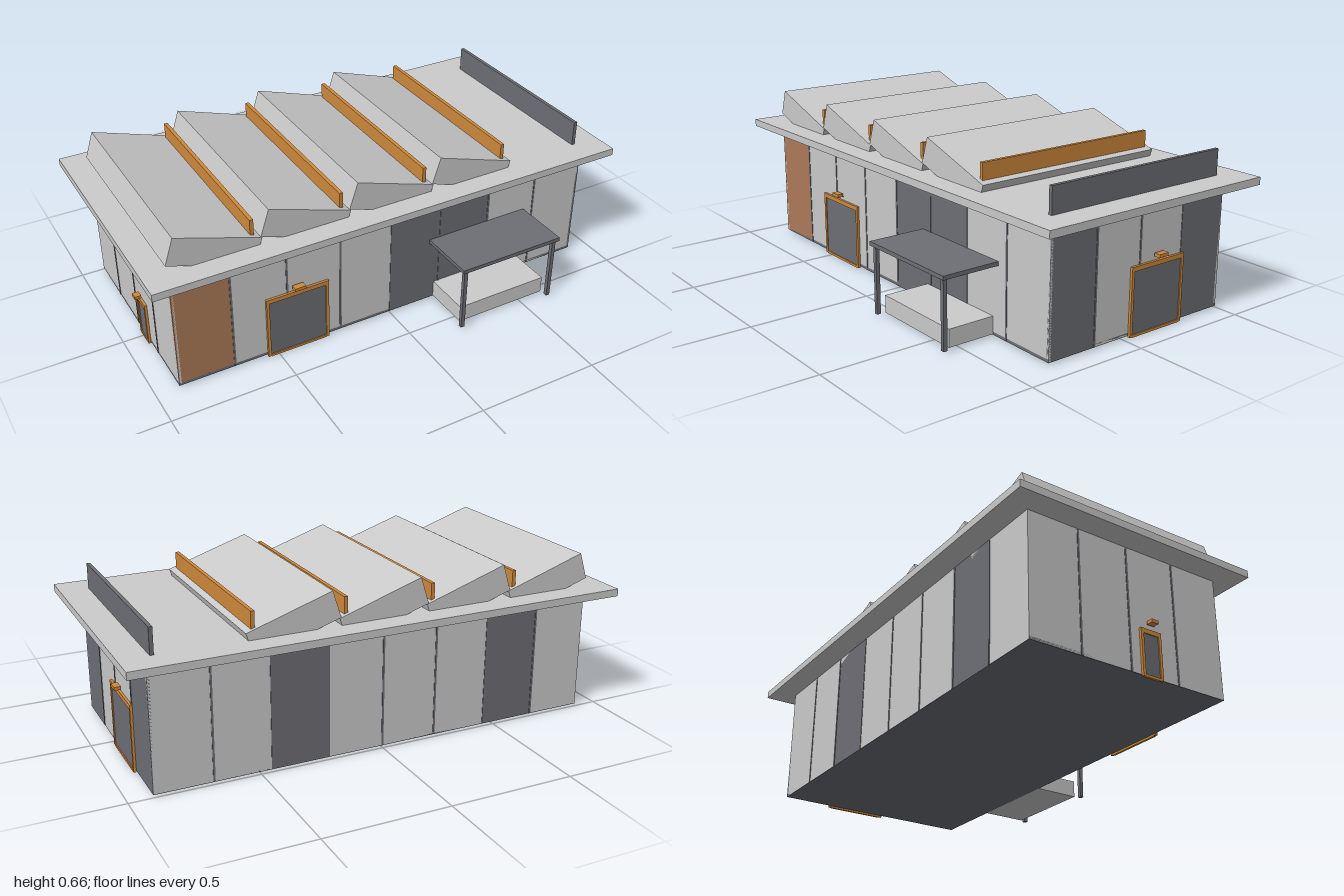
import * as THREE from 'three';

const mat = (color) => new THREE.MeshStandardMaterial({ color });
const LIGHT = mat(0xcccccc), DARK = mat(0x6e6f75), ORANGE = mat(0xd08a3c), BROWN = mat(0xad7a58);

// Box given by its minimum and maximum along each axis
function box(parent, name, m, [x0, x1], [y0, y1], [z0, z1]) {
  const mesh = new THREE.Mesh(new THREE.BoxGeometry(x1 - x0, y1 - y0, z1 - z0), m);
  mesh.position.set((x0 + x1) / 2, (y0 + y1) / 2, (z0 + z1) / 2);
  mesh.name = name;
  parent.add(mesh);
  return mesh;
}

// Wall face lying in its own xy plane, outside towards +z
function wallFace(parent, name, x, z, turn) {
  const g = new THREE.Group();
  g.name = name;
  g.position.set(x, 0, z);
  g.rotation.y = turn;
  parent.add(g);
  return g;
}

// Row of cladding panels with dark seams between them
function cladding(wall, width, colors, seamTops = []) {
  const w = width / colors.length;
  colors.forEach((m, i) => {
    const x = -width / 2 + i * w;
    box(wall, 'wallPanel', m, [x, x + w], [0.01, 0.495], [-0.01, 0]);
    if (i) box(wall, 'seam', DARK, [x - 0.004, x + 0.004], [0.01, seamTops[i - 1] ?? 0.49], [-0.005, 0.002]);
  });
}

// Framed door with a small lamp above it
function door(wall, x0, x1, top, lampWidth) {
  const f = 0.012, c = (x0 + x1) / 2;
  const g = new THREE.Group();
  g.name = 'door';
  wall.add(g);
  box(g, 'doorLeaf', DARK, [x0 + f, x1 - f], [0.01, top - f], [0, 0.006]);
  for (const x of [x0, x1 - f]) box(g, 'doorJamb', ORANGE, [x, x + f], [0.002, top], [0, 0.01]);
  box(g, 'doorHead', ORANGE, [x0 + f, x1 - f], [top - 0.018, top], [0, 0.01]);
  box(g, 'doorSill', ORANGE, [x0 + f, x1 - f], [0, 0.01], [0, 0.01]);
  box(g, 'doorLamp', ORANGE, [c - lampWidth / 2, c + lampWidth / 2], [top + 0.018, top + 0.031], [0.008, 0.034]);
}

export function createModel() {
  const model = new THREE.Group();
  model.name = 'workshop';
  const L = LIGHT, D = DARK;
  const X = 0.907, ZB = -0.495, ZF = 0.35, ZM = (ZB + ZF) / 2;

  // Solid core and floor
  box(model, 'core', DARK, [-X + 0.005, X - 0.005], [0.012, 0.495], [ZB + 0.005, ZF - 0.005]);
  box(model, 'floor', DARK, [-X, X], [0.008, 0.02], [ZB, ZF]);

  // Four clad walls
  const front = wallFace(model, 'frontWall', 0, ZF, 0);
  cladding(front, 2 * X, [BROWN, L, L, L, D, D, L, L], [0.48, 0.49, 0.45, 0.49, 0.49, 0.47]);
  door(front, -0.545, -0.282, 0.27, 0.045);
  const back = wallFace(model, 'backWall', 0, ZB, Math.PI);
  cladding(back, 2 * X, [L, L, D, L, L, L, D, L]);
  const right = wallFace(model, 'leftWall', X, ZM, Math.PI / 2);
  cladding(right, ZF - ZB, [D, L, L, D]);
  door(right, 0.027 + ZM, 0.29 + ZM, 0.27, 0.045);
  const left = wallFace(model, 'rightWall', -X, ZM, -Math.PI / 2);
  cladding(left, ZF - ZB, [L, L, L, L]);
  door(left, -0.03 - ZM, 0.06 - ZM, 0.185, 0.03);

  // Overhanging flat roof
  box(model, 'roofSlab', LIGHT, [-1, 1], [0.493, 0.523], [-0.59, 0.44]);

  // Sawtooth roof: tilted blocks, each with an upright strip at its low end
  for (let i = 0; i < 4; i++) {
    const x = -0.728 + i * 0.363;
    const tooth = box(model, 'sawtooth', LIGHT, [x - 0.176, x + 0.176], [0.497, 0.608], [ZB, ZF]);
    tooth.rotation.z = -0.314;
    box(model, 'roofStrip', ORANGE, [x + 0.145, x + 0.16], [0.52, 0.625], [-0.48, 0.332]);
  }
  box(model, 'parapet', DARK, [0.872, 0.887], [0.523, 0.625], [-0.48, 0.332]);

  // Porch canopy, posts, platform and lamp strip
  const porch = new THREE.Group();
  porch.name = 'porch';
  model.add(porch);
  box(porch, 'canopy', DARK, [0.177, 0.635], [0.279, 0.295], [ZF, 0.59]);
  for (const x of [0.196, 0.616])
    box(porch, 'canopyPost', DARK, [x - 0.008, x + 0.008], [0.01, 0.28], [0.565, 0.581]);
  box(porch, 'platform', LIGHT, [0.205, 0.606], [0.01, 0.08], [ZF, 0.545]);
  box(porch, 'canopyLamp', ORANGE, [0.4, 0.411], [0.271, 0.28], [0.38, 0.565]);

  return model;
}
